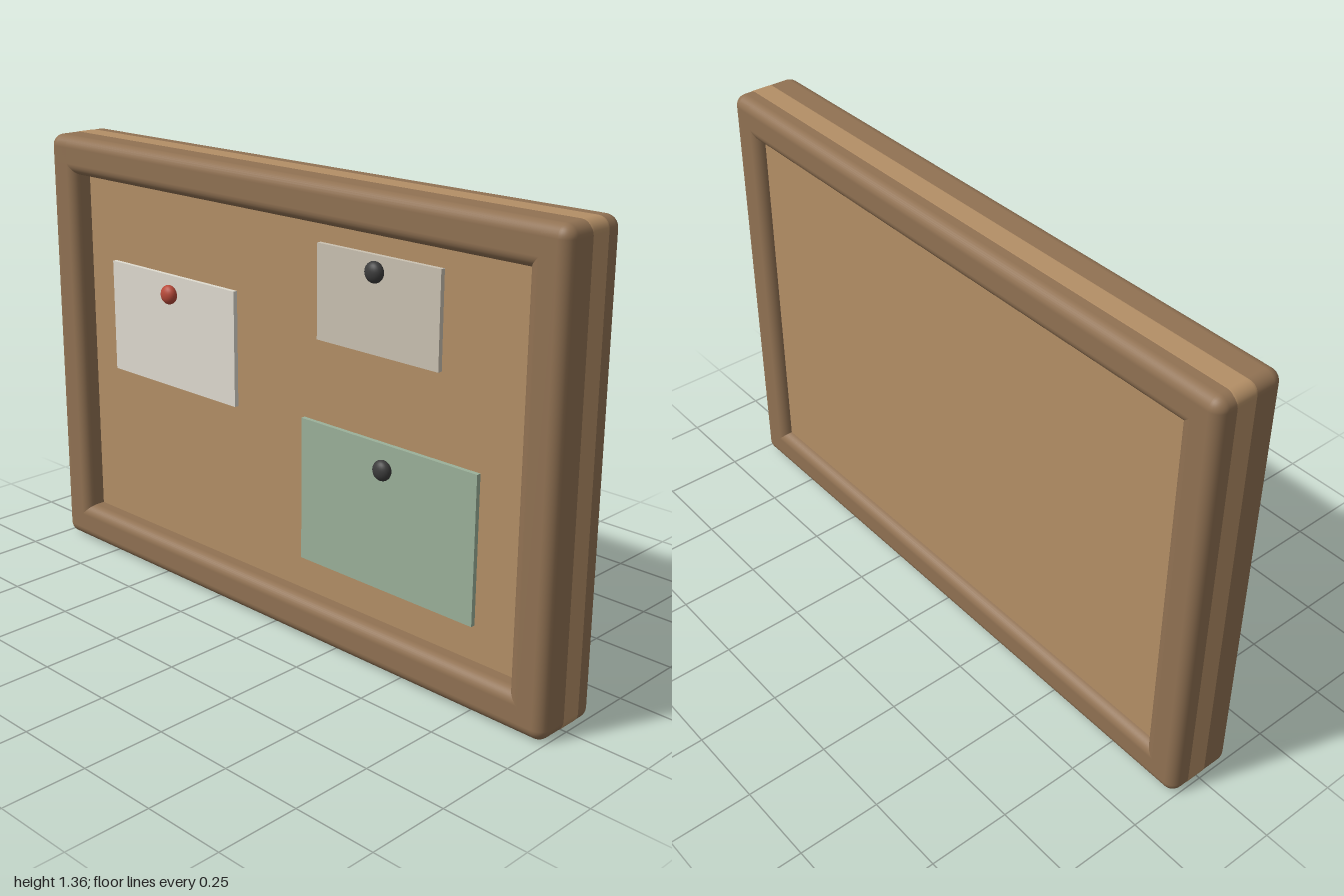
import * as THREE from 'three';
import { RoundedBoxGeometry } from 'three/addons/geometries/RoundedBoxGeometry.js';

const W = 2, H = 1.36, DEPTH = 0.22, RAIL = 0.12, ROUND = 0.035;
const BOARD_FRONT = 0.046, BOARD_BACK = -0.08;

const material = (color) => new THREE.MeshStandardMaterial({ color });

function addMesh(parent, name, geometry, mat, x, y, z) {
  const mesh = new THREE.Mesh(geometry, mat);
  mesh.name = name;
  mesh.position.set(x, y, z);
  parent.add(mesh);
  return mesh;
}

export function createModel() {
  const model = new THREE.Group();
  model.name = 'pinboard';

  // Cork panel, just flush with the outside of the frame
  const thick = BOARD_FRONT - BOARD_BACK;
  addMesh(model, 'corkPanel', new RoundedBoxGeometry(W + 0.001, H + 0.001, thick, 4, ROUND),
    material(0xb48f66), 0, H / 2, (BOARD_FRONT + BOARD_BACK) / 2);

  // Frame: two rails and two stiles with rounded edges
  const frame = new THREE.Group();
  frame.name = 'frame';
  model.add(frame);
  const wood = material(0x917253);
  const railGeo = new RoundedBoxGeometry(W, RAIL, DEPTH, 4, ROUND);
  const stileGeo = new RoundedBoxGeometry(RAIL, H, DEPTH, 4, ROUND);
  addMesh(frame, 'bottomRail', railGeo, wood, 0, RAIL / 2, 0);
  addMesh(frame, 'topRail', railGeo, wood, 0, H - RAIL / 2, 0);
  addMesh(frame, 'rightStile', stileGeo, wood, -(W - RAIL) / 2, H / 2, 0);
  addMesh(frame, 'leftStile', stileGeo, wood, (W - RAIL) / 2, H / 2, 0);

  // Paper notes, each held by a round pin
  const notes = [
    { name: 'whiteNote', x: [-0.76, -0.2], y: [0.625, 0.98], color: 0xe0dcd0, pin: [-0.48, 0.922], pinColor: 0xb84a3a },
    { name: 'greyNote', x: [0.14, 0.58], y: [0.905, 1.18], color: 0xcbc2b2, pin: [0.36, 1.136], pinColor: 0x3c3c3c },
    { name: 'greenNote', x: [0.08, 0.72], y: [0.225, 0.66], color: 0x9bb19a, pin: [0.4, 0.588], pinColor: 0x3c3c3c },
  ];
  const pinGeo = new THREE.SphereGeometry(0.03, 24, 16);
  for (const n of notes) {
    const group = new THREE.Group();
    group.name = n.name;
    model.add(group);
    const paper = new THREE.BoxGeometry(n.x[1] - n.x[0], n.y[1] - n.y[0], 0.016);
    addMesh(group, 'paper', paper, material(n.color),
      (n.x[0] + n.x[1]) / 2, (n.y[0] + n.y[1]) / 2, BOARD_FRONT + 0.006);
    const pin = addMesh(group, 'pin', pinGeo, material(n.pinColor), n.pin[0], n.pin[1], 0.07);
    pin.scale.z = 0.7;
  }
  return model;
}
